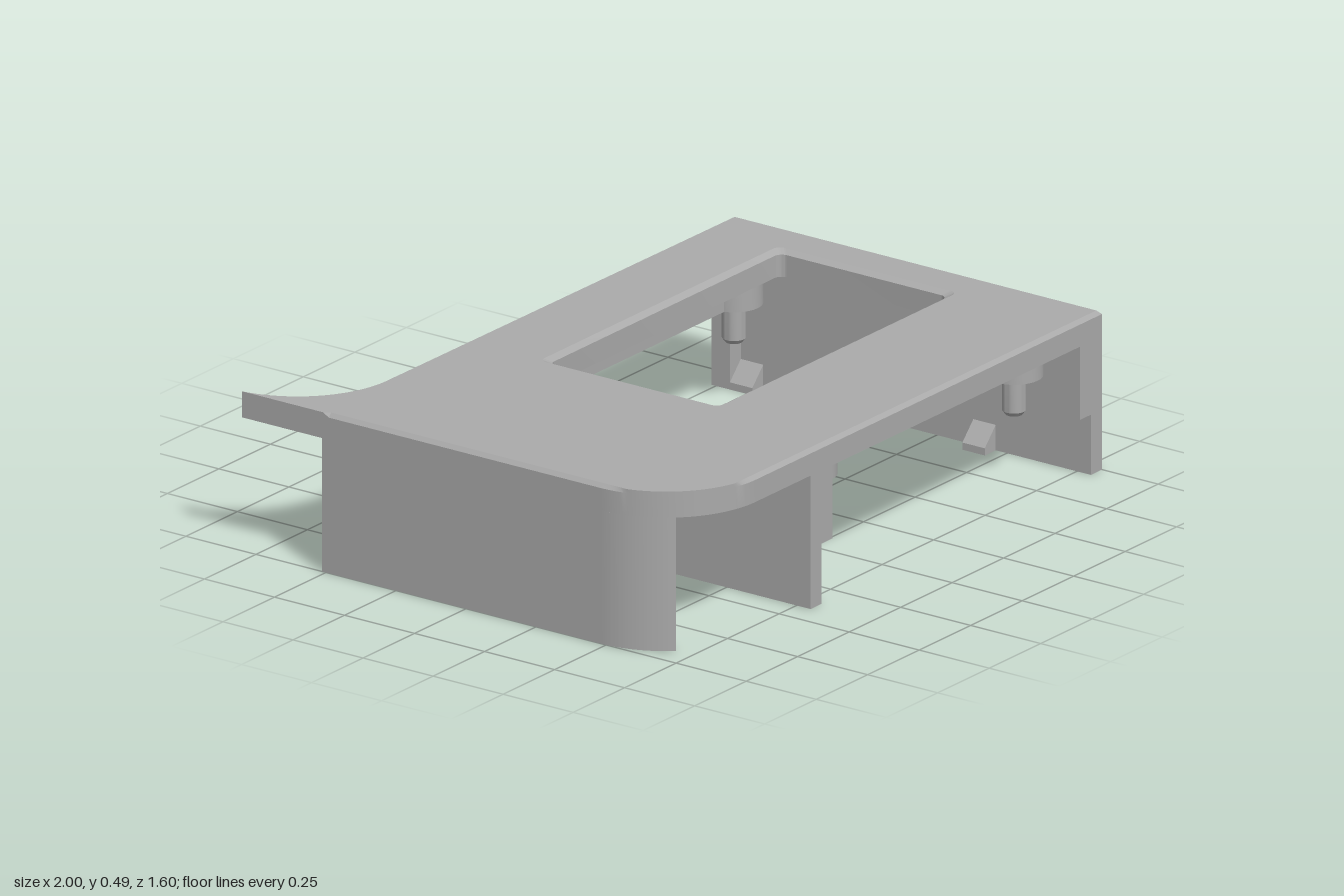
import * as THREE from 'three';
import { toCreasedNormals } from 'three/addons/utils/BufferGeometryUtils.js';

const FRONT = 0.8, BACK = -0.515, UNDER = 0.41, TOP = 0.49;
const CORNER = 0.32; // plan radius of the rounded front corner

export function createModel() {
  const group = new THREE.Group();
  const grey = new THREE.MeshStandardMaterial({ color: 0xaaaaaa });
  grey.name = 'plain grey';

  const add = (name, geometry, x = 0, y = 0, z = 0) => {
    const mesh = new THREE.Mesh(geometry, grey);
    mesh.name = name;
    mesh.position.set(x, y, z);
    group.add(mesh);
    return mesh;
  };
  const box = (name, x0, x1, y0, y1, z0, z1) =>
    add(name, new THREE.BoxGeometry(x1 - x0, y1 - y0, z1 - z0), (x0 + x1) / 2, (y0 + y1) / 2, (z0 + z1) / 2);
  // Plan shapes use (x, -z) and are raised along y
  const raise = (shape, depth, steps = 1) =>
    new THREE.ExtrudeGeometry(shape, { depth, steps, bevelEnabled: false, curveSegments: 20 }).rotateX(-Math.PI / 2);
  // Profiles in (x, y) run along z
  const runAlongZ = (name, points, z0, z1) => {
    const shape = new THREE.Shape(points.map(p => new THREE.Vector2(...p)));
    return add(name, new THREE.ExtrudeGeometry(shape, { depth: z1 - z0, bevelEnabled: false }), 0, 0, z0);
  };

  // Top plate: rounded front corner, flared back corner, window
  const flare = 0.322;
  const plate = new THREE.Shape();
  plate.moveTo(1, -FRONT);
  plate.lineTo(1, -BACK);
  plate.lineTo(-0.6, -BACK);
  plate.lineTo(-0.62, -BACK);
  plate.lineTo(-0.68, -BACK);
  plate.absarc(-0.68, -BACK + flare, flare, -Math.PI / 2, -Math.PI + 0.115, true);
  plate.lineTo(-1, 0.8);
  plate.lineTo(-1, 0.51);
  plate.lineTo(-1, 0.49);
  plate.lineTo(-1, -FRONT + CORNER);
  plate.absarc(-1 + CORNER, -FRONT + CORNER, CORNER, Math.PI, Math.PI * 1.5, false);
  plate.closePath();

  const cx = 0.29, cz = 0.06, hw = 0.56, hd = 0.3, r = 0.025;
  const hole = new THREE.Path();
  [[1, 1, 0], [-1, 1, 1], [-1, -1, 2], [1, -1, 3]].forEach(([sx, sy, q]) =>
    hole.absarc(cx + sx * (hw - r), -cz + sy * (hd - r), r, q * Math.PI / 2, (q + 1) * Math.PI / 2, false));
  hole.closePath();
  plate.holes.push(hole);

  // Chamfer the upper ring: outer edges move in, window edges move out
  const c = 0.012, height = TOP - UNDER;
  const plateGeometry = raise(plate, height, 2);
  const p = plateGeometry.attributes.position;
  for (let i = 0; i < p.count; i++) {
    let x = p.getX(i), y = p.getY(i), z = p.getZ(i);
    if (y > height * 0.9) {
      if (Math.abs(x - cx) < hw + 0.01 && Math.abs(z - cz) < hd + 0.01) {
        x = cx + (x - cx) * (hw + 0.02) / hw;
        z = cz + (z - cz) * (hd + 0.02) / hd;
      } else {
        x = Math.min(x, 1 - c);
        z = Math.min(z, FRONT - c);
        if (z > -0.5) x = Math.max(x, -1 + c);
        if (x > -0.61) z = Math.max(z, BACK + c);
      }
    } else if (y > height * 0.1) y = height - c;
    p.setXYZ(i, x, y, z);
  }
  add('topPlate', toCreasedNormals(plateGeometry, 0.4), 0, UNDER, 0);

  // Outer side wall, its front end following the rounded corner
  const wall = new THREE.Shape();
  wall.moveTo(-0.92, -BACK);
  wall.lineTo(-1, -BACK);
  wall.lineTo(-1, -FRONT + CORNER);
  wall.absarc(-1 + CORNER, -FRONT + CORNER, CORNER, Math.PI, Math.PI + Math.acos(0.24 / CORNER), false);
  wall.closePath();
  add('outerWall', toCreasedNormals(raise(wall, UNDER), 0.4));

  // Two facing rail walls: slotted inside, closed at the back, with snap hooks
  const railWall = (name, outer, dir) => {
    const at = d => outer + dir * d;
    const stop = -0.45, wide = 0.107, thin = 0.054;
    runAlongZ(name, [[at(0), 0], [at(thin), 0], [at(thin), 0.185], [at(wide), 0.185],
      [at(wide), UNDER], [at(0), UNDER]], stop, FRONT);
    runAlongZ(name + 'BackStop', [[at(0), 0], [at(wide), 0], [at(wide), UNDER], [at(0), UNDER]], BACK, stop);
    for (const [z0, z1] of [[0.38, 0.46], [-0.09, 0.13], [-0.45, -0.37]])
      runAlongZ(name + 'Hook', [[at(thin), 0], [at(wide), 0], [at(wide), 0.022], [at(thin), 0.078]], z0, z1);
  };
  railWall('middleWall', -0.415, 1);
  railWall('sideWall', 1, -1);

  // Four mounting bosses with chamfered pins
  const profile = [[0, 0.2], [0.025, 0.2], [0.035, 0.213], [0.035, 0.32], [0.085, 0.32], [0.085, UNDER]];
  const boss = toCreasedNormals(
    new THREE.LatheGeometry(profile.map(q => new THREE.Vector2(...q)), 32), 0.4);
  for (const x of [-0.21, 0.79])
    for (const z of [-0.36, 0.64]) add('mountingBoss', boss, x, 0, z);

  // Cross rib joining the back bosses, with a small ledge
  box('crossRib', -0.21, 0.79, 0.32, UNDER, -0.385, -0.335);
  box('ribLedge', 0.06, 0.52, 0.335, 0.365, -0.42, -0.385);

  return group;
}
